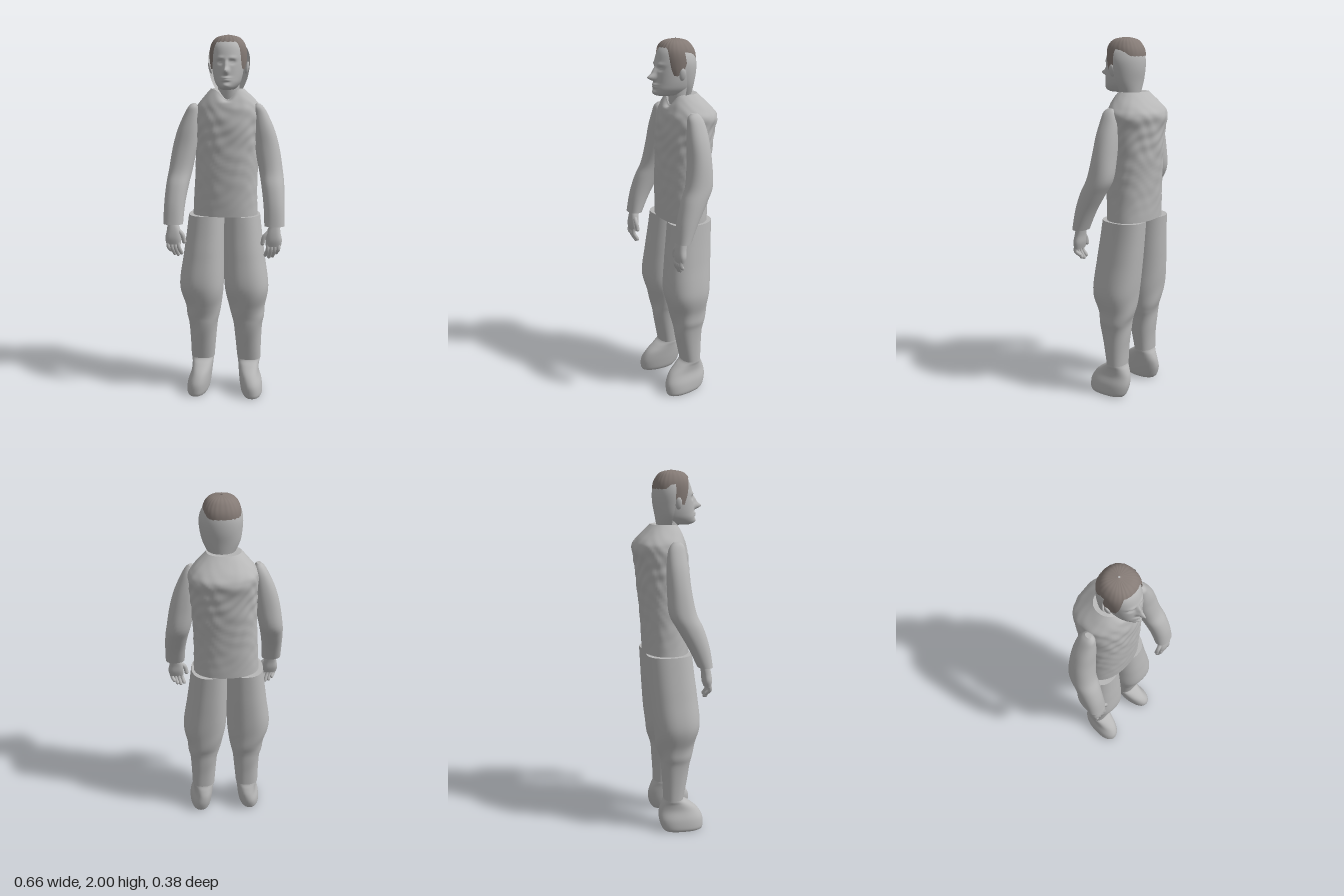
import * as THREE from 'three';

const cloth = new THREE.MeshStandardMaterial({ color: 0xb8b8b8, side: THREE.DoubleSide });
cloth.name = 'paleGrey';
const hairMat = new THREE.MeshStandardMaterial({ color: 0x857b76, side: THREE.DoubleSide });
hairMat.name = 'brownGrey';

const { smoothstep, lerp } = THREE.MathUtils;
const gauss = (d, w) => Math.exp(-(d * d) / (w * w));

// Smooth interpolation of one section [y, x0, x1, z0, z1] at position t
function sectionAt(secs, t) {
  const i = Math.min(Math.floor(t), secs.length - 2), f = t - i;
  const at = (k) => secs[Math.max(0, Math.min(secs.length - 1, k))];
  return secs[i].map((b, c) => {
    const a = at(i - 1)[c], d = at(i + 1)[c], e = at(i + 2)[c];
    const m0 = (d - a) / 2, m1 = (e - b) / 2, f2 = f * f, f3 = f2 * f;
    return (2 * f3 - 3 * f2 + 1) * b + (f3 - 2 * f2 + f) * m0 + (3 * f2 - 2 * f3) * d + (f3 - f2) * m1;
  });
}

// Skin over stacked oval sections, bottom to top; side = -1 mirrors in x
function loft(secs, { seg = 40, rows = 36, n = 2, side = 1, mod, arc, start = () => 0, caps = true } = {}) {
  const pos = [], idx = [], p = new THREE.Vector3();
  const [a0, a1] = arc || [0, Math.PI * 2];
  const cols = arc ? seg + 1 : seg;
  const pow = (v) => Math.sign(v) * Math.abs(v) ** (2 / n);
  for (let i = 0; i <= rows; i++) {
    for (let j = 0; j < cols; j++) {
      const a = lerp(a0, a1, j / seg);
      const [y, x0, x1, z0, z1] = sectionAt(secs, lerp(start(a), secs.length - 1, i / rows));
      p.set(side * (x0 + x1) / 2 + (x1 - x0) / 2 * pow(Math.cos(a)), y,
        (z0 + z1) / 2 + (z1 - z0) / 2 * pow(Math.sin(a)));
      if (mod) mod(p, a, i / rows);
      pos.push(p.x, p.y, p.z);
    }
  }
  for (let i = 0; i < rows; i++) {
    for (let j = 0; j < seg; j++) {
      const k = (j + 1) % cols, r = i * cols, s = r + cols;
      idx.push(r + j, s + j, r + k, r + k, s + j, s + k);
    }
  }
  // Flat end caps with their own vertices
  if (caps && !arc) {
    for (const row of [0, rows]) {
      const base = pos.length / 3, c = [0, 0, 0];
      for (let j = 0; j < cols; j++) {
        for (let k = 0; k < 3; k++) {
          const v = pos[(row * cols + j) * 3 + k];
          pos.push(v);
          c[k] += v / cols;
        }
      }
      pos.push(...c);
      for (let j = 0; j < cols; j++) {
        const k = base + (j + 1) % cols;
        idx.push(base + cols, ...(row ? [k, base + j] : [base + j, k]));
      }
    }
  }
  const g = new THREE.BufferGeometry();
  g.setAttribute('position', new THREE.Float32BufferAttribute(pos, 3));
  g.setIndex(idx);
  g.computeVertexNormals();
  return g;
}

function add(parent, name, geo, mat = cloth) {
  const m = new THREE.Mesh(geo, mat);
  m.name = name;
  parent.add(m);
  return m;
}

// Rounded finger along a bent path
function finger(parent, name, pts, r, side) {
  const path = new THREE.CatmullRomCurve3(pts.map(([x, y, z]) => new THREE.Vector3(side * x, y, z)));
  add(parent, name, new THREE.TubeGeometry(path, 10, r, 10));
  add(parent, name + 'Tip', new THREE.SphereGeometry(r, 10, 8)).position.copy(path.getPoint(1));
}

function buildHead(group) {
  const head = new THREE.Group();
  head.name = 'head';
  group.add(head);
  add(head, 'neck', loft([[1.62, -0.05, 0.08, -0.07, 0.05], [1.7, -0.043, 0.073, -0.055, 0.06],
    [1.78, -0.045, 0.075, -0.06, 0.07]], { rows: 8 }));

  // Face features pushed in and out of the front of the skull
  const face = (p, a) => {
    if (Math.sin(a) < 0.2) return;
    const x = p.x - 0.015, y = p.y;
    p.z += 0.04 * gauss(x, 0.013) * gauss(y - 1.812, 0.016)
      + 0.02 * gauss(x, 0.009) * gauss(y - 1.84, 0.026)
      + 0.011 * gauss(x, 0.024) * gauss(y - 1.776, 0.007)
      + 0.010 * gauss(x, 0.022) * gauss(y - 1.764, 0.006)
      + 0.010 * gauss(x, 0.02) * gauss(y - 1.736, 0.012)
      + 0.006 * gauss(Math.abs(x) - 0.032, 0.022) * gauss(y - 1.878, 0.01)
      - 0.012 * gauss(Math.abs(x) - 0.032, 0.015) * gauss(y - 1.857, 0.011)
      + 0.006 * gauss(Math.abs(x) - 0.032, 0.009) * gauss(y - 1.856, 0.005);
  };
  add(head, 'face', loft([
    [1.715, -0.015, 0.045, -0.02, 0.125], [1.725, -0.032, 0.062, -0.045, 0.148],
    [1.75, -0.05, 0.08, -0.055, 0.152], [1.78, -0.06, 0.09, -0.06, 0.148],
    [1.82, -0.067, 0.097, -0.066, 0.145], [1.86, -0.071, 0.101, -0.068, 0.141],
    [1.9, -0.072, 0.102, -0.066, 0.134], [1.94, -0.067, 0.097, -0.06, 0.118],
    [1.97, -0.045, 0.075, -0.035, 0.09], [1.988, -0.01, 0.04, 0, 0.055],
  ], { seg: 96, rows: 80, n: 2.15, mod: face }));

  // Back of the skull, a half shell reaching forward to the ears
  add(head, 'headBack', loft([
    [1.715, -0.055, 0.09, -0.055, 0.07], [1.77, -0.08, 0.115, -0.064, 0.09],
    [1.83, -0.09, 0.128, -0.075, 0.115], [1.88, -0.092, 0.13, -0.077, 0.12],
    [1.92, -0.085, 0.12, -0.071, 0.117], [1.945, -0.073, 0.104, -0.062, 0.105],
  ], { arc: [Math.PI * 0.99, Math.PI * 2.01], seg: 40, rows: 24 }));
  for (const s of [-1, 1]) {
    const ear = add(head, s > 0 ? 'leftEar' : 'rightEar', new THREE.SphereGeometry(1, 16, 12));
    ear.scale.set(0.01, 0.032, 0.018);
    ear.position.set(0.018 + s * 0.098, 1.83, 0.042);
    ear.rotation.z = -s * 0.2;
  }

  // Hair cap: high over the forehead, long at the temples, short at the nape
  const hairline = (a) => {
    const f = Math.sin(a);
    return lerp(lerp(1.7, 0.45, smoothstep(f, -0.15, 0.15)), 3, smoothstep(f, 0.6, 0.85));
  };
  add(head, 'hair', loft([
    [1.8, -0.076, 0.106, -0.068, 0.105], [1.86, -0.083, 0.113, -0.074, 0.12],
    [1.92, -0.083, 0.113, -0.074, 0.124], [1.96, -0.07, 0.1, -0.058, 0.114],
    [1.988, -0.042, 0.072, -0.03, 0.085], [2.0, 0.01, 0.02, 0.02, 0.03],
  ], {
    seg: 96, rows: 28, n: 2.3, caps: false, start: hairline,
    mod: (p, a, t) => { p.y += 0.002 * Math.sin(a * 24) * (1 - t); },
  }), hairMat);
}

function buildTorso(group) {
  // Quilted surface, with a notch at the front of the collar
  const quilt = (p, a, t) => {
    const fade = Math.sin(Math.PI * t);
    const b = 0.0035 * fade * Math.sin(a * 9 + Math.sin(p.y * 17) * 2) * Math.sin(p.y * 62 + 2 * Math.cos(a * 4));
    p.x += b * Math.cos(a);
    p.z += b * Math.sin(a);
    if (p.z > 0) p.y -= 0.06 * gauss(p.x - 0.012, 0.045) * smoothstep(t, 0.82, 1);
  };
  add(group, 'torso', loft([
    [1.03, -0.185, 0.175, -0.14, 0.107], [1.2, -0.175, 0.172, -0.148, 0.113],
    [1.4, -0.166, 0.18, -0.165, 0.114], [1.53, -0.167, 0.19, -0.178, 0.11],
    [1.6, -0.168, 0.193, -0.188, 0.1], [1.645, -0.15, 0.17, -0.163, 0.088],
    [1.72, -0.083, 0.097, -0.09, 0.06],
  ], { seg: 80, rows: 72, n: 2.25, mod: quilt }));
}

function buildArm(group, side) {
  const arm = new THREE.Group();
  arm.name = side > 0 ? 'leftArm' : 'rightArm';
  group.add(arm);
  add(arm, 'sleeve', loft([
    [0.995, 0.222, 0.33, 0.095, 0.175], [1.1, 0.215, 0.329, 0.045, 0.158],
    [1.2, 0.2, 0.324, -0.012, 0.128], [1.28, 0.184, 0.314, -0.052, 0.092],
    [1.4, 0.16, 0.294, -0.056, 0.07], [1.5, 0.15, 0.266, -0.054, 0.062],
    [1.58, 0.148, 0.23, -0.045, 0.052], [1.62, 0.152, 0.207, -0.03, 0.045],
    [1.64, 0.163, 0.187, -0.01, 0.025],
  ], { side, n: 2.2 }));
  add(arm, 'palm', loft([
    [0.885, 0.232, 0.312, 0.132, 0.168], [0.92, 0.23, 0.318, 0.122, 0.172],
    [0.96, 0.235, 0.31, 0.118, 0.168], [1.0, 0.25, 0.305, 0.11, 0.16],
  ], { side, rows: 14, seg: 24, n: 2.4 }));
  for (let i = 0; i < 4; i++) {
    const x = 0.244 + i * 0.019, drop = [0.835, 0.826, 0.832, 0.85][i];
    finger(arm, 'finger' + (i + 1), [[x, 0.905, 0.152], [x - 0.002, 0.87, 0.158], [x - 0.014, drop, 0.142]], 0.0105, side);
  }
  finger(arm, 'thumb', [[0.25, 0.965, 0.145], [0.222, 0.935, 0.15], [0.214, 0.9, 0.148]], 0.012, side);
}

function buildLeg(group, side) {
  const leg = new THREE.Group();
  leg.name = side > 0 ? 'leftLeg' : 'rightLeg';
  group.add(leg);
  // Baggy trousers gathered below the knee, shifted slightly at the hips
  add(leg, 'trouserLeg', loft([
    [0.19, 0.067, 0.2, -0.055, 0.056], [0.3, 0.057, 0.203, -0.06, 0.077],
    [0.4, 0.047, 0.209, -0.07, 0.096], [0.45, 0.035, 0.22, -0.078, 0.103],
    [0.51, 0.022, 0.226, -0.092, 0.115], [0.63, 0.004, 0.25, -0.11, 0.145],
    [0.8, 0.001, 0.228, -0.125, 0.132], [0.92, 0, 0.212, -0.133, 0.118],
    [1.03, 0, 0.199, -0.14, 0.106],
  ], {
    side, seg: 48, rows: 60, n: 2.3,
    mod: (p, a) => {
      p.x -= 0.01 * smoothstep(p.y, 0.4, 0.7);
      p.z += 0.004 * Math.sin(a * 3 + p.y * 30) * gauss(p.y - 0.47, 0.12);
    },
  }));
  add(leg, 'boot', loft([
    [0, 0.1, 0.205, -0.055, 0.162], [0.02, 0.09, 0.213, -0.07, 0.168],
    [0.07, 0.082, 0.208, -0.085, 0.166], [0.12, 0.077, 0.192, -0.083, 0.138],
    [0.16, 0.073, 0.192, -0.068, 0.09], [0.185, 0.07, 0.197, -0.055, 0.056],
    [0.21, 0.075, 0.193, -0.05, 0.048],
  ], {
    side, rows: 28, n: 2.2,
    mod: (p) => { p.x += side * 0.008 * smoothstep(p.z, 0, 0.16); },
  }));
}

export function createModel() {
  const group = new THREE.Group();
  group.name = 'standingMan';
  buildHead(group);
  buildTorso(group);
  for (const side of [1, -1]) {
    buildArm(group, side);
    buildLeg(group, side);
  }
  return group;
}
